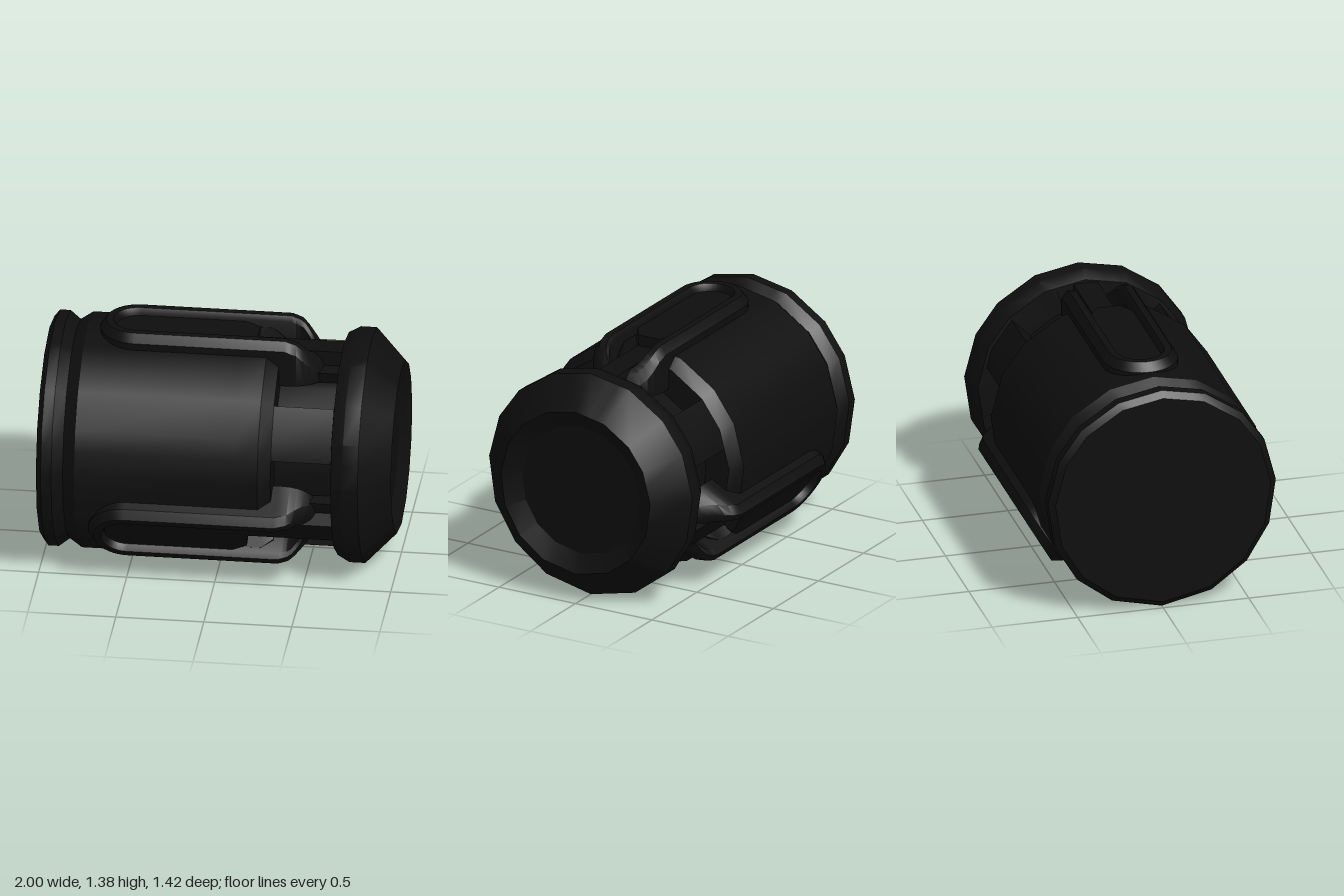
import * as THREE from 'three';
import { toCreasedNormals } from 'three/addons/utils/BufferGeometryUtils.js';

const AXIS_Y = 0.67;
const EPS = 0.0015;
const rad = THREE.MathUtils.degToRad;

// Skin between cross-sections: rows x columns of points, columns wrap around.
function skin(rows, crease) {
  const pos = [];
  const tri = (a, b, c) => {
    const area = b.clone().sub(a).cross(c.clone().sub(a)).length();
    if (area > 1e-9) for (const p of [a, b, c]) pos.push(p.x, p.y, p.z);
  };
  for (let i = 0; i < rows.length - 1; i++) {
    const n = rows[i].length;
    for (let j = 0; j < n; j++) {
      const k = (j + 1) % n;
      tri(rows[i][j], rows[i][k], rows[i + 1][j]);
      tri(rows[i][k], rows[i + 1][k], rows[i + 1][j]);
    }
  }
  const g = new THREE.BufferGeometry();
  g.setAttribute('position', new THREE.Float32BufferAttribute(pos, 3));
  return toCreasedNormals(g, crease);
}

// Corners of the faceted barrel, in degrees from the top
const half = [0, 22.3, 45, 64, 86.6, 110, 132, 154.2, 180];
const corners = [...half, ...half.slice(1, -1).reverse().map((a) => 360 - a), 360];

function facetRadius(a) {
  const i = Math.max(0, corners.findIndex((c, k) => a >= c && a <= corners[k + 1]));
  const mid = (corners[i] + corners[i + 1]) / 2;
  return Math.cos(rad((corners[i + 1] - corners[i]) / 2)) / Math.cos(rad(a - mid));
}

// Barrel, neck with six pockets, and bored front ring
function barrelGeometry() {
  const profile = [
    [-1, 0], [-1, 0.63], [-0.97, 0.667], [-0.91, 0.667], [-0.85, 0.62], [-0.78, 0.667],
    [0.13 - EPS, 0.667], [0.13 + EPS, 0.667], [0.26, 0.667], [0.33 - EPS, 0.61],
    [0.33 + EPS, 0.61], [0.67 - EPS, 0.61], [0.67 + EPS, 0.63],
    [0.74, 0.667], [0.83, 0.667], [1, 0.49], [0.94, 0.385], [0.94, 0],
  ];
  const angles = corners.slice(0, -1);
  for (const pod of [0, 120, 240])
    for (const edge of [10.5, 16, 45])
      for (const s of [-1, 1])
        for (const e of [-0.05, 0.05]) angles.push((pod + s * edge + e + 360) % 360);
  angles.sort((a, b) => a - b);

  const radius = (x, r, a, front) => {
    const d = Math.abs(((a + 60) % 120) - 60); // angle from the nearest pod
    if (!front && x > 0.33 && x < 0.67) {
      if (d < 16) return 0.53;
      if (d < 45) return 0.46;
    }
    if (x > 0.13 && x < 0.33 && d < 10.5) return 0.56;
    return r * facetRadius(a);
  };
  const rows = profile.map(([x, r], i) => angles.map((a) => {
    const q = radius(x, r, a, i > 11);
    return new THREE.Vector3(x, q * Math.cos(rad(a)), q * Math.sin(rad(a)));
  }));
  return skin(rows, 0.5);
}

// Raised stadium rim whose front end dips towards the neck
function rimGeometry() {
  const dip = [[-1, 0.715], [0.36, 0.715], [0.43, 0.69], [0.5, 0.61], [0.61, 0.52]];
  const height = (x) => {
    const i = dip.findIndex((d, k) => x <= dip[k + 1][0]);
    const [x0, h0] = dip[i], [x1, h1] = dip[i + 1];
    return h0 + (h1 - h0) * (x - x0) / (x1 - x0);
  };
  const path = (R) => {
    const pts = [];
    for (let k = 0; k <= 16; k++) {
      const t = Math.PI / 2 + (k / 16) * Math.PI;
      pts.push([-0.495 + R * Math.cos(t), -R * Math.sin(t)]);
    }
    pts.push([0.36, R]);
    for (let k = 0; k <= 16; k++) {
      const t = -Math.PI / 2 + (k / 16) * Math.PI;
      pts.push([0.385 + R * Math.cos(t), -R * Math.sin(t)]);
    }
    pts.push([0.36, -R]);
    return pts;
  };
  // [radius, drop below the crest]; null drop reaches the base
  const section = [[0.215, null], [0.215, 0.05], [0.18, 0], [0.14, 0], [0.122, 0.03], [0.122, null]];
  const rows = section.map(([R, drop]) => path(R).map(([x, z]) =>
    new THREE.Vector3(x, drop === null ? 0.45 : height(x) - drop, z)));
  return skin(rows, 0.6);
}

// Inset plate: round at the rear, tapered at the front
function plateGeometry() {
  const w = 0.124;
  const s = new THREE.Shape();
  s.moveTo(0.1, -w);
  s.lineTo(0.19, -0.07);
  s.lineTo(0.19, 0.07);
  s.lineTo(0.1, w);
  s.lineTo(-0.495, w);
  s.absarc(-0.495, 0, w, Math.PI / 2, Math.PI * 1.5, false);
  const g = new THREE.ExtrudeGeometry(s, { depth: 0.125, bevelEnabled: false, curveSegments: 14 });
  g.rotateX(-Math.PI / 2);
  g.translate(0, 0.55, 0);
  return g;
}

export function createModel() {
  const model = new THREE.Group();
  model.name = 'slottedCanister';
  const black = new THREE.MeshStandardMaterial({ color: 0x0e0e0e });
  black.name = 'matte black';

  const add = (parent, name, geometry) => {
    const m = new THREE.Mesh(geometry, black);
    m.name = name;
    parent.add(m);
    return m;
  };

  const body = add(model, 'barrel', barrelGeometry());
  body.position.y = AXIS_Y;

  // Three pods spaced evenly around the barrel
  const rim = rimGeometry();
  const plate = plateGeometry();
  const tongue = new THREE.BoxGeometry(0.52, 0.14, 0.14).translate(0.42, 0.54, 0);
  for (let i = 0; i < 3; i++) {
    const pod = new THREE.Group();
    pod.name = 'pod' + (i + 1);
    pod.position.y = AXIS_Y;
    pod.rotation.x = (i * Math.PI * 2) / 3;
    add(pod, 'podRim', rim);
    add(pod, 'podPlate', plate);
    add(pod, 'podTongue', tongue);
    model.add(pod);
  }
  return model;
}
